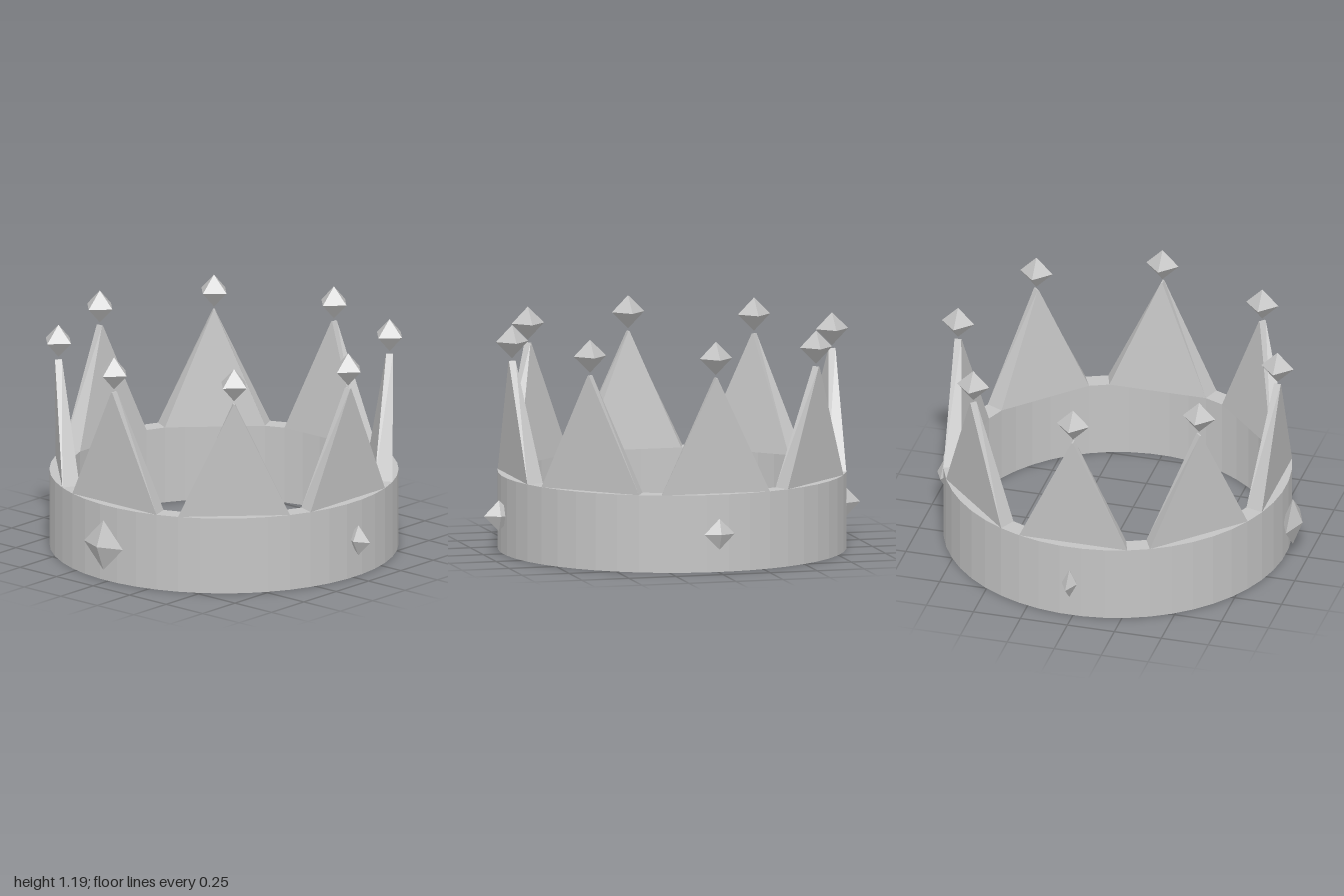
import * as THREE from 'three';

const OUTER = 0.895, INNER = 0.8, BAND = 0.4, SEGMENTS = 48;
const STEP = (Math.PI * 2) / SEGMENTS;

// Tapered spike: its foot spans five band segments, its tip is a short radial ridge
function spikeGeometry() {
  const geo = new THREE.BoxGeometry(1, 1, 1);
  const p = geo.attributes.position;
  for (let i = 0; i < p.count; i++) {
    const side = Math.sign(p.getX(i)), out = p.getZ(i) > 0;
    if (p.getY(i) > 0) {
      p.setXYZ(i, side * 0.004, 1, out ? 0.868 : 0.832);
    } else {
      const r = out ? OUTER : INNER, a = 2.5 * STEP;
      p.setXYZ(i, side * r * Math.sin(a), BAND, r * Math.cos(a));
    }
  }
  geo.computeVertexNormals();
  return geo;
}

export function createModel() {
  const metal = new THREE.MeshStandardMaterial({ color: 0xc4c4c4, flatShading: true });
  metal.name = 'silver grey';

  const crown = new THREE.Group();
  crown.name = 'crown';
  crown.position.z = -0.012;

  function add(name, geo, x = 0, y = 0, z = 0) {
    const mesh = new THREE.Mesh(geo, metal);
    mesh.name = name;
    mesh.position.set(x, y, z);
    crown.add(mesh);
    return mesh;
  }

  // Band: hollow ring with a rectangular section
  const section = [[INNER, 0], [OUTER, 0], [OUTER, BAND], [INNER, BAND], [INNER, 0]];
  add('band', new THREE.LatheGeometry(
    section.map(([r, y]) => new THREE.Vector2(r, y)), SEGMENTS, STEP / 2));

  // Eight spikes, each with a floating gem that keeps the crown's axes
  const spike = spikeGeometry();
  const tipGem = new THREE.OctahedronGeometry(0.086);
  for (let i = 0; i < 8; i++) {
    const a = (i * Math.PI) / 4;
    add('spike', spike).rotation.y = a;
    add('tipGem', tipGem, 0.85 * Math.sin(a), 1.1, 0.85 * Math.cos(a));
  }

  // Band gems: a large one in front, smaller ones on the sides and back
  const gem = new THREE.OctahedronGeometry(1);
  add('frontGem', gem, 0, 0.2, 0.932).scale.set(0.133, 0.133, 0.052);
  add('backGem', gem, 0, 0.2, -0.922).scale.set(0.08, 0.08, 0.038);
  for (const s of [1, -1]) {
    add(s > 0 ? 'leftGem' : 'rightGem', gem, s * 0.92, 0.2, 0).scale.set(0.08, 0.08, 0.04);
  }

  const model = new THREE.Group();
  model.name = 'model';
  model.add(crown);
  return model;
}
